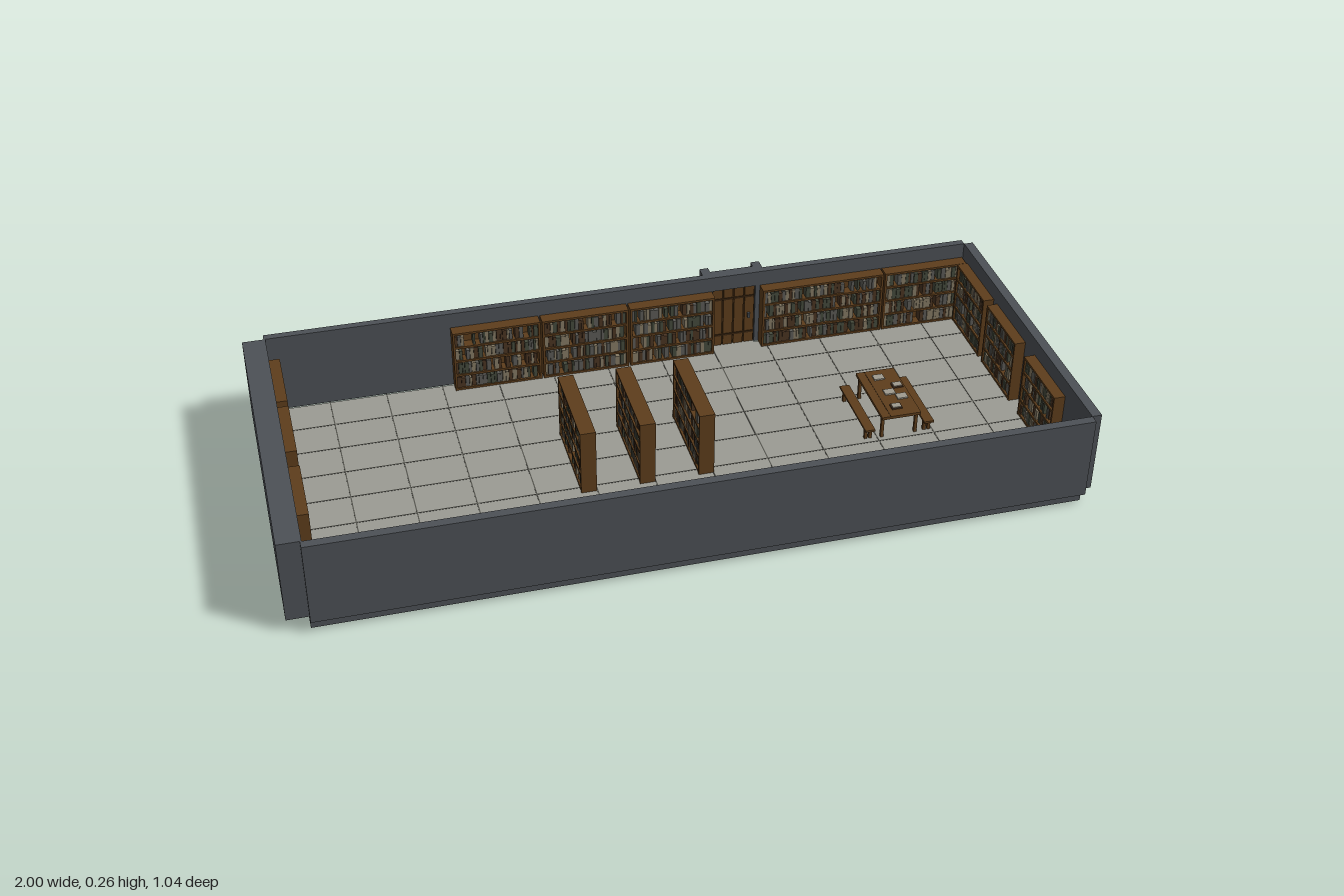
import * as THREE from 'three';
import { mergeGeometries } from 'three/addons/utils/BufferGeometryUtils.js';

const mat = (name, color) => {
  const m = new THREE.MeshStandardMaterial({ color });
  m.name = name;
  return m;
};
const stone = mat('dark stone', 0x4d5156);
const tile = mat('floor tile', 0x9c9c94);
const grout = mat('grout', 0x55554f);
const wood = mat('wood', 0x5e3e1c);
const darkWood = mat('dark wood', 0x38240f);
const paper = mat('paper', 0xa09c90);
const bookMats = [mat('tan book', 0x857a64), mat('grey book', 0x5c5b56),
  mat('green book', 0x454a3c), mat('brown book', 0x4a3422)];

const FLOOR = 0.035, TOP = 0.258, SHELF_H = 0.18;
const X0 = -0.945, X1 = 0.975, Z0 = -0.345, Z1 = 0.497;
const DOOR0 = 0.255, DOOR1 = 0.375, DOOR_TOP = 0.215;

// Box geometry given by its minimum and maximum corners
function span(x0, x1, y0, y1, z0, z1) {
  return new THREE.BoxGeometry(x1 - x0, y1 - y0, z1 - z0)
    .translate((x0 + x1) / 2, (y0 + y1) / 2, (z0 + z1) / 2);
}

function add(parent, name, material, ...boxes) {
  const mesh = new THREE.Mesh(boxes.length > 1 ? mergeGeometries(boxes) : boxes[0], material);
  mesh.name = name;
  parent.add(mesh);
  return mesh;
}

// Small seeded number generator
let seed = 7;
function rand() {
  seed = (seed * 16807) % 2147483647;
  return seed / 2147483647;
}

// Bookcase of width w and depth d, back at local z = 0, opening to +z
function bookcase(w, d, rows = 4) {
  const g = new THREE.Group();
  g.name = 'bookcase';
  const t = 0.006, h = SHELF_H, pitch = (h - t) / rows;
  const frame = [
    span(-w / 2, -w / 2 + t, 0, h, 0, d), span(w / 2 - t, w / 2, 0, h, 0, d),
    span(-w / 2 + t, w / 2 - t, 0, h, 0, 0.004),
  ];
  for (let r = 0; r <= rows; r++) {
    const lip = r === rows ? 0 : 0.001;
    frame.push(span(-w / 2 + t, w / 2 - t, r * pitch, r * pitch + t, 0.004, d - lip));
  }
  add(g, 'frame', wood, ...frame);

  // Rows of books, sorted by colour
  const books = bookMats.map(() => []);
  for (let r = 0; r < rows; r++) {
    const y = r * pitch + t, room = pitch - t;
    let x = -w / 2 + t;
    while (x < w / 2 - t - 0.006) {
      const bw = Math.min(0.006 + rand() * 0.007, w / 2 - t - x);
      if (rand() > 0.1) {
        books[Math.floor(rand() * books.length)].push(
          span(x, x + bw - 0.0008, y, y + room * (0.7 + rand() * 0.25), 0.004, d - 0.003 - rand() * 0.004));
      }
      x += bw;
    }
  }
  books.forEach((b, i) => { if (b.length) add(g, 'books', bookMats[i], ...b); });
  return g;
}

function placeCase(parent, x, z, angle, w, d) {
  const c = bookcase(w, d);
  c.position.set(x, FLOOR, z);
  c.rotation.y = angle;
  parent.add(c);
}

// Foundation, tiled floor and entrance step
function buildFloor(root) {
  add(root, 'foundation', stone, span(X0, X1, 0, FLOOR - 0.003, Z0 + 0.003, Z1));
  add(root, 'floorTiles', tile, span(X0, X1, FLOOR - 0.003, FLOOR, Z0 + 0.003, Z1));
  add(root, 'entranceStep', stone, span(DOOR0, DOOR1, 0, FLOOR - 0.005, -0.522, Z0 + 0.003));
  add(root, 'stepTop', tile, span(DOOR0, DOOR1, FLOOR - 0.005, FLOOR - 0.001, -0.522, Z0 + 0.003));
  const lines = [], s = 0.0015, y = FLOOR + 0.0008;
  for (let x = X0 + 0.15; x < X1; x += 0.15) lines.push(span(x - s, x + s, FLOOR, y, Z0, Z1));
  for (let i = 1; i < 8; i++) {
    const z = Z0 + i * 0.105;
    lines.push(span(X0, X1, FLOOR, y, z - s, z + s));
  }
  add(root, 'groutLines', grout, ...lines);
}

// Outer walls, with a doorway through the back
function buildWalls(root) {
  add(root, 'frontWall', stone, span(X0, X1, FLOOR, TOP, Z1, 0.52));
  add(root, 'rightWall', stone, span(-1, X0 + 0.004, FLOOR, TOP, Z0, Z1));
  add(root, 'leftWall', stone, span(X1, 1, FLOOR, TOP, Z0, Z1));
  add(root, 'backWall', stone,
    span(X0, DOOR0, FLOOR, TOP, -0.365, Z0), span(DOOR1, X1, FLOOR, TOP, -0.365, Z0));
  add(root, 'doorLintel', stone, span(DOOR0, DOOR1, DOOR_TOP, TOP, -0.377, Z0));
  for (const x of [DOOR0 - 0.024, DOOR1]) {
    add(root, 'doorPillar', stone, span(x, x + 0.024, FLOOR, TOP - 0.0005, -0.398, -0.36));
  }
}

// Plank door with cross rails and handles on both sides
function buildDoor(root) {
  const door = new THREE.Group();
  door.name = 'door';
  add(door, 'doorCore', darkWood, span(DOOR0, DOOR1, FLOOR, DOOR_TOP, -0.357, -0.353));
  const planks = [], n = 4, w = (DOOR1 - DOOR0) / n;
  for (let i = 0; i < n; i++) {
    const x = DOOR0 + i * w;
    planks.push(span(x + 0.002, x + w - 0.002, FLOOR, DOOR_TOP - 0.002, -0.361, -0.349));
  }
  add(door, 'planks', wood, ...planks);
  add(door, 'rails', darkWood, ...[0.065, 0.18].map(y =>
    span(DOOR0 + 0.004, DOOR1 - 0.004, y, y + 0.006, -0.363, -0.347)));
  add(door, 'handle', stone, span(0.355, 0.362, 0.115, 0.13, -0.367, -0.343));
  root.add(door);
}

// Reading table with two benches, books and papers
function buildTable(root) {
  const set = new THREE.Group();
  set.name = 'readingTable';
  const bench = (name, x0, x1, h, t, inset) => {
    const z0 = -0.03, z1 = 0.178, y = FLOOR + h, l = 0.008;
    const parts = [span(x0, x1, y - t, y, z0, z1)];
    for (const z of [z0 + inset, z1 - inset - l]) {
      for (const x of [x0 + 0.003, x1 - 0.003 - l]) parts.push(span(x, x + l, FLOOR, y - t, z, z + l));
    }
    add(set, name, wood, ...parts);
  };
  bench('tableTop', 0.56, 0.665, 0.07, 0.008, 0.012);
  bench('bench', 0.517, 0.543, 0.036, 0.006, 0.015);
  bench('bench', 0.677, 0.703, 0.036, 0.006, 0.015);
  const y = FLOOR + 0.07;
  add(set, 'boardSeam', darkWood, span(0.582, 0.584, y, y + 0.0006, -0.03, 0.178));
  const spots = [[0.61, 0.005], [0.645, 0.05], [0.615, 0.075], [0.61, 0.14], [0.64, 0.1]];
  spots.forEach(([x, z], i) => {
    add(set, 'openBook', i % 2 ? bookMats[3] : paper,
      span(x - 0.014, x + 0.014, y, y + 0.004, z - 0.011, z + 0.011));
    if (i % 2) add(set, 'pages', paper, span(x - 0.011, x + 0.011, y + 0.004, y + 0.006, z - 0.009, z + 0.009));
  });
  root.add(set);
}

// Bookcases along the walls and free-standing double ones
function buildBookcases(root) {
  const w = 0.235, d = 0.033;
  for (let i = 0; i < 6; i++) {
    const x = -0.463 + i * 0.24 + w / 2;
    placeCase(root, x, Z1, Math.PI, w, d);
    if (i < 3 || i === 5) placeCase(root, x, Z0, 0, w, d);
  }
  placeCase(root, 0.56, Z0, 0, 0.345, d);
  for (const z of [-0.215, 0, 0.252]) {
    placeCase(root, X0 + 0.004, z, Math.PI / 2, 0.192, 0.029);
    placeCase(root, X1, z, -Math.PI / 2, 0.192, 0.029);
  }
  for (const x of [-0.217, -0.066, 0.086]) {
    for (const s of [-1, 1]) placeCase(root, x, 0.075, s * Math.PI / 2, 0.256, 0.02);
  }
}

export function createModel() {
  seed = 7;
  const root = new THREE.Group();
  root.name = 'libraryRoom';
  buildFloor(root);
  buildWalls(root);
  buildDoor(root);
  buildBookcases(root);
  buildTable(root);
  return root;
}
